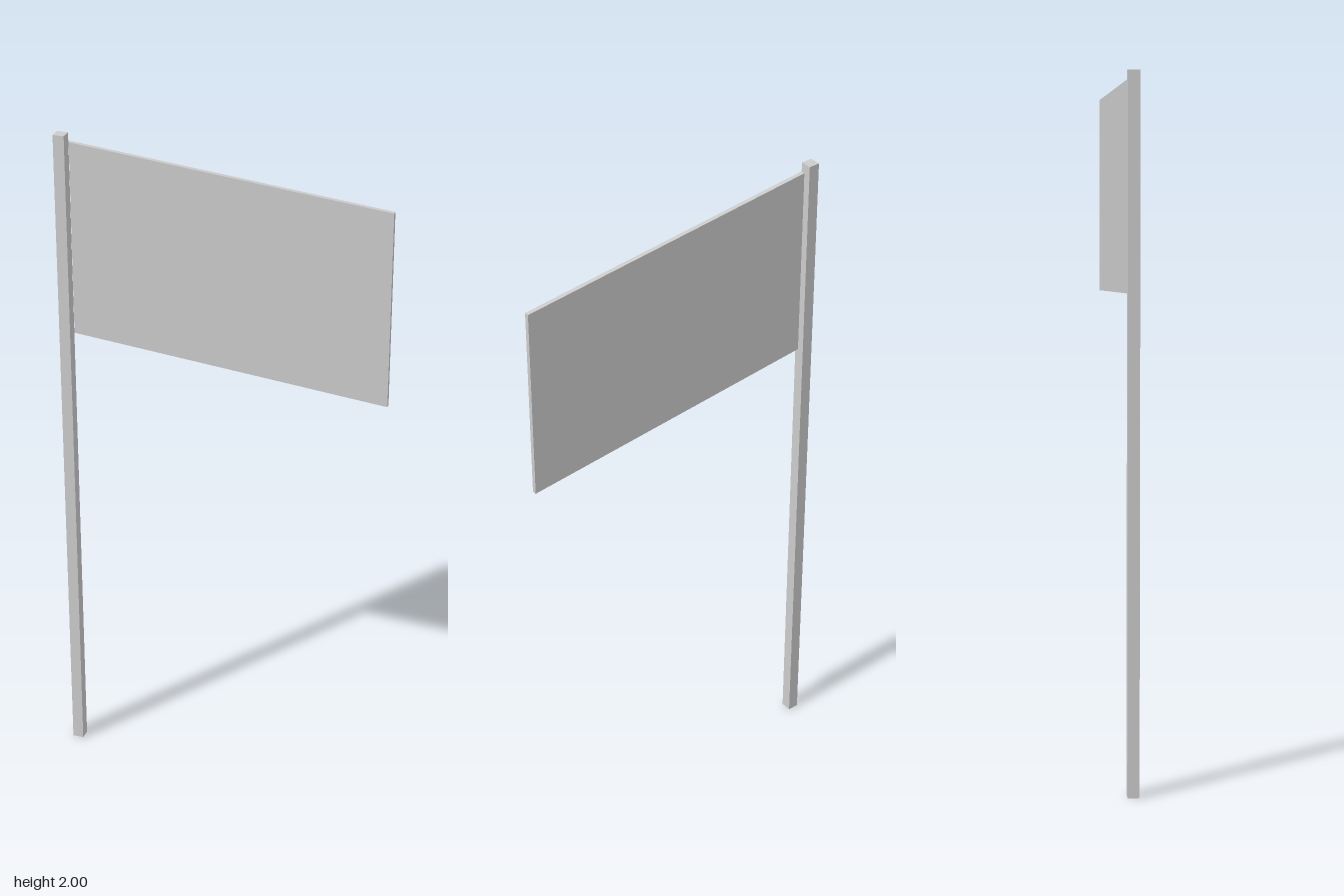
import * as THREE from 'three';

export function createModel() {
  const model = new THREE.Group();
  model.name = 'flag';
  const material = new THREE.MeshStandardMaterial({ color: 0xcccccc, flatShading: true });

  // Square pole standing on the ground
  const pole = new THREE.Mesh(new THREE.BoxGeometry(0.033, 2, 0.033), material);
  pole.name = 'pole';
  pole.position.set(-0.4705, 1, 0);
  model.add(pole);

  // Thin cloth panel, sheared so its free end droops
  const width = 0.931, height = 0.58, droop = 0.09, thickness = 0.013;
  const shape = new THREE.Shape([
    new THREE.Vector2(0, 0),
    new THREE.Vector2(width, -droop),
    new THREE.Vector2(width, height - droop),
    new THREE.Vector2(0, height),
  ]);
  const clothGeometry = new THREE.ExtrudeGeometry(shape, { depth: thickness, bevelEnabled: false });
  const cloth = new THREE.Mesh(clothGeometry, material);
  cloth.name = 'cloth';
  cloth.position.set(-0.444, 1.4, -thickness / 2);
  model.add(cloth);

  return model;
}
